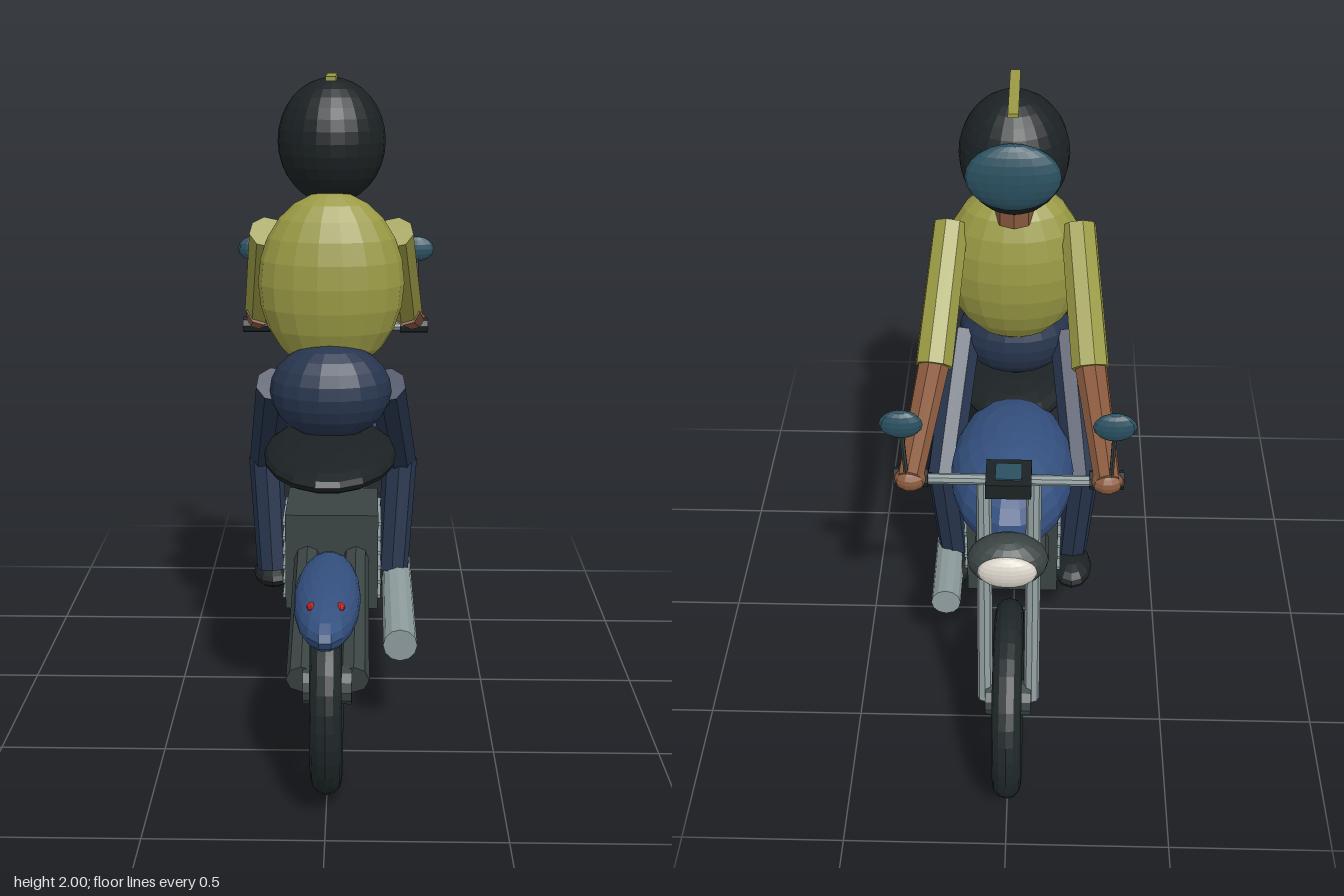
import * as THREE from 'three';

const palette = {
  rubber: 0x20282a, dark: 0x3a4443, steel: 0x8d9b9c, blue: 0x34507f, denim: 0x27354e,
  shirt: 0x9a9a45, skin: 0x8a5a3e, glass: 0x2a5060, seat: 0x1c2224, lens: 0xd8d2c8, red: 0xc02020,
};
const materials = {};
for (const key in palette) {
  materials[key] = new THREE.MeshStandardMaterial({ color: palette[key], flatShading: true });
}

export function createModel() {
  const model = new THREE.Group();
  model.name = 'motorcycleWithRider';

  function add(name, geometry, mat, pos = [0, 0, 0], parent = model) {
    const mesh = new THREE.Mesh(geometry, materials[mat]);
    mesh.name = name;
    mesh.position.set(...pos);
    parent.add(mesh);
    return mesh;
  }
  // Ellipsoid with given centre and half sizes
  function ellipsoid(name, pos, radii, mat, w = 18, h = 12) {
    return add(name, new THREE.SphereGeometry(1, w, h).scale(...radii), mat, pos);
  }
  // Tapered cylinder between two points
  function rod(name, from, to, r0, r1, mat, sides = 8, parent = model) {
    const a = new THREE.Vector3(...from), b = new THREE.Vector3(...to);
    const dir = b.clone().sub(a);
    const mesh = add(name, new THREE.CylinderGeometry(r1, r0, dir.length(), sides), mat,
      a.clone().add(b).multiplyScalar(0.5).toArray(), parent);
    mesh.quaternion.setFromUnitVectors(new THREE.Vector3(0, 1, 0), dir.normalize());
    return mesh;
  }
  const box = (name, pos, size, mat) => add(name, new THREE.BoxGeometry(...size), mat, pos);

  // Wheels: tyre, rim, hub and spokes
  function wheel(name, z) {
    const g = new THREE.Group();
    g.name = name;
    g.position.set(0, 0.31, z);
    model.add(g);
    add('tyre', new THREE.TorusGeometry(0.262, 0.044, 12, 36).rotateY(Math.PI / 2), 'rubber', [0, 0, 0], g);
    add('rim', new THREE.TorusGeometry(0.208, 0.02, 8, 36).rotateY(Math.PI / 2), 'steel', [0, 0, 0], g);
    rod('hub', [-0.07, 0, 0], [0.07, 0, 0], 0.055, 0.055, 'dark', 12, g);
    for (let i = 0; i < 8; i++) {
      const t = i * Math.PI / 4;
      rod('spoke', [0, 0, 0], [0, 0.205 * Math.sin(t), 0.205 * Math.cos(t)], 0.008, 0.008, 'steel', 6, g);
    }
  }
  wheel('frontWheel', -0.68);
  wheel('rearWheel', 0.68);

  // Body
  ellipsoid('fuelTank', [0, 0.81, -0.175], [0.195, 0.16, 0.325], 'blue');
  ellipsoid('seat', [0, 0.89, 0.3], [0.2, 0.06, 0.35], 'seat');
  ellipsoid('rearFender', [0, 0.573, 0.675], [0.095, 0.08, 0.312], 'blue');
  rod('frameSpine', [0, 0.795, 0.3], [0, 0.795, -0.35], 0.036, 0.036, 'dark');

  // Engine with cooling fins
  box('engine', [0, 0.455, -0.053], [0.3, 0.32, 0.285], 'dark');
  for (const s of [-1, 1]) {
    for (let i = 0; i < 6; i++) {
      box('coolingFin', [s * 0.152, 0.33 + i * 0.05, -0.053], [0.016, 0.012, 0.25], 'steel');
    }
  }
  rod('exhaust', [0.215, 0.32, 0.43], [0.215, 0.365, -0.33], 0.052, 0.048, 'steel', 12);

  // Steering
  rod('handlebar', [-0.32, 1.1, -0.56], [0.32, 1.1, -0.56], 0.016, 0.016, 'steel');
  box('instrumentBox', [0, 1.11, -0.57], [0.13, 0.05, 0.115], 'seat');
  box('instrumentGlass', [0, 1.137, -0.57], [0.075, 0.006, 0.07], 'glass');
  ellipsoid('headlight', [0, 0.912, -0.69], [0.117, 0.08, 0.078], 'dark');
  ellipsoid('headlightLens', [0, 0.915, -0.745], [0.085, 0.055, 0.032], 'lens');

  // Rider torso and head
  ellipsoid('torso', [0, 1.385, 0.16], [0.222, 0.278, 0.148], 'shirt');
  ellipsoid('hips', [0, 1.07, 0.24], [0.185, 0.148, 0.145], 'denim');
  rod('neck', [0, 1.58, 0.09], [0, 1.7, 0.08], 0.06, 0.06, 'skin');
  ellipsoid('helmet', [0, 1.805, 0.082], [0.163, 0.188, 0.163], 'seat', 24, 16);
  ellipsoid('visor', [0, 1.805, -0.07], [0.138, 0.105, 0.042], 'glass');
  box('helmetStripe', [0, 1.993, 0.08], [0.03, 0.013, 0.285], 'shirt');

  // Mirrored parts
  for (const s of [-1, 1]) {
    rod('forkLeg', [s * 0.072, 0.31, -0.68], [s * 0.072, 1.1, -0.55], 0.024, 0.022, 'steel');
    rod('swingArm', [s * 0.075, 0.325, 0.68], [s * 0.08, 0.565, -0.325], 0.045, 0.042, 'dark');
    rod('grip', [s * 0.23, 1.105, -0.56], [s * 0.328, 1.105, -0.56], 0.028, 0.028, 'rubber');
    rod('mirrorStalk', [s * 0.29, 1.11, -0.58], [s * 0.29, 1.34, -0.64], 0.007, 0.007, 'dark', 6);
    ellipsoid('mirror', [s * 0.29, 1.365, -0.645], [0.06, 0.045, 0.022], 'glass', 12, 8);
    ellipsoid('tailLight', [s * 0.04, 0.623, 0.855], [0.012, 0.012, 0.022], 'red', 8, 6);

    rod('upperArm', [s * 0.195, 1.535, 0.125], [s * 0.235, 1.235, -0.2], 0.055, 0.058, 'shirt');
    rod('forearm', [s * 0.235, 1.235, -0.17], [s * 0.28, 1.12, -0.59], 0.05, 0.038, 'skin');
    ellipsoid('hand', [s * 0.28, 1.115, -0.58], [0.046, 0.036, 0.036], 'skin', 10, 8);
    rod('thigh', [s * 0.17, 1.08, 0.21], [s * 0.222, 0.74, -0.125], 0.06, 0.057, 'denim');
    rod('shin', [s * 0.222, 0.75, -0.115], [s * 0.2, 0.375, -0.065], 0.057, 0.052, 'denim');
    ellipsoid('boot', [s * 0.2, 0.34, -0.12], [0.068, 0.042, 0.1], 'seat', 12, 8);
  }
  return model;
}
